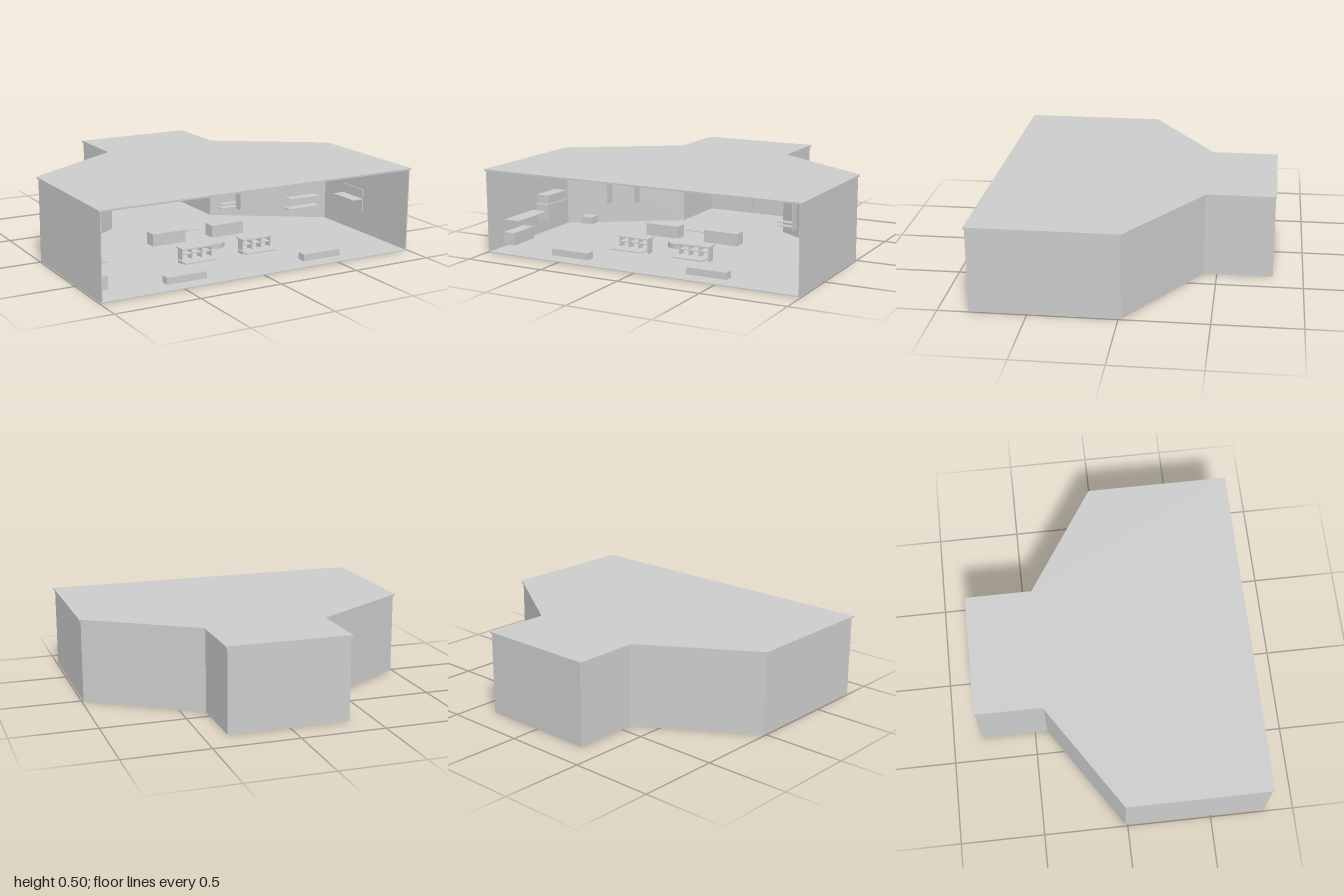
import * as THREE from 'three';

const material = new THREE.MeshStandardMaterial({ color: 0xcccccc, flatShading: true });
const TOP = 0.49;

// Room outline as [x, z], running from the open front around the back
const OUTLINE = [
  [1, 0.83], [1, -0.02], [0.37, -0.43], [0.37, -0.83],
  [-0.365, -0.83], [-0.365, -0.43], [-1, -0.02], [-1, 0.83],
];
const WALL_LINE = [
  [0.99, 0.825], [0.99, -0.015], [0.362, -0.425], [0.362, -0.825],
  [-0.357, -0.825], [-0.357, -0.425], [-0.99, -0.015], [-0.99, 0.825],
];

export function createModel() {
  const model = new THREE.Group();

  function add(name, geometry, parent = model) {
    const mesh = new THREE.Mesh(geometry, material);
    mesh.name = name;
    parent.add(mesh);
    return mesh;
  }

  // Box given by its extents on each axis
  function box(name, [x0, x1], [y0, y1], [z0, z1], parent = model) {
    const mesh = add(name, new THREE.BoxGeometry(x1 - x0, y1 - y0, z1 - z0), parent);
    mesh.position.set((x0 + x1) / 2, (y0 + y1) / 2, (z0 + z1) / 2);
    return mesh;
  }

  // Horizontal slab with the given plan
  function slab(name, plan, y, height) {
    const shape = new THREE.Shape(plan.map(([x, z]) => new THREE.Vector2(x, -z)));
    const geometry = new THREE.ExtrudeGeometry(shape, { depth: height, bevelEnabled: false });
    geometry.rotateX(-Math.PI / 2);
    add(name, geometry).position.y = y;
  }

  slab('floor', WALL_LINE, 0, 0.006);
  slab('roof', OUTLINE, TOP, 0.01);

  // Walls: one thin strip following the outline, open at the front
  const t = 0.006;
  const inner = WALL_LINE.map(([x, z]) => [x - Math.sign(x) * t, z < 0.8 ? z + t : z]);
  slab('walls', [...WALL_LINE, ...inner.reverse()], 0, TOP);

  // Front benches
  for (const x of [-0.58, 0.3]) box('frontBench', [x, x + 0.245], [0.02, 0.06], [0.715, 0.77]);

  // Seating groups: solid sofa at the back, slatted seat with dividers in front
  for (const x of [-0.33, 0.07]) {
    box('backSofa', [x, x + 0.22], [0.025, 0.1], [0.03, 0.11]);
    const seat = new THREE.Group();
    seat.name = 'slattedSeat';
    model.add(seat);
    box('seatTop', [x + 0.01, x + 0.21], [0.09, 0.098], [0.38, 0.46], seat);
    box('seatShelf', [x, x + 0.2], [0.025, 0.032], [0.42, 0.52], seat);
    box('seatRail', [x + 0.01, x + 0.21], [0.06, 0.066], [0.4, 0.45], seat);
    for (let i = 0; i < 4; i++) {
      const px = x + 0.012 + i * 0.063;
      box('divider', [px, px + 0.006], [0.006, 0.09], [0.4, 0.45], seat);
    }
  }

  // Round table
  const table = add('roundTable', new THREE.CylinderGeometry(0.075, 0.075, 0.03, 32));
  table.position.set(-0.012, 0.04, 0.255);
  box('tableMat', [-0.11, 0.07], [0.058, 0.062], [-0.05, 0.02]);

  // Cabinets and counter by the left-hand side of the front opening
  box('lowCabinet', [-0.97, -0.895], [0.025, 0.1], [0.5, 0.7]);
  box('counterTop', [-0.985, -0.88], [0.163, 0.17], [0.38, 0.67]);
  box('tallCabinet', [-0.965, -0.88], [0.1, 0.265], [0.16, 0.36]);
  box('cabinetShelf', [-0.965, -0.87], [0.205, 0.211], [0.15, 0.38]);
  box('smallStool', [-0.875, -0.79], [0.02, 0.065], [-0.06, 0.01]);

  // Thin shelves and post on the back wall
  box('longShelf', [-0.16, 0.2], [0.217, 0.223], [-0.81, -0.75]);
  box('shortShelf', [-0.16, -0.03], [0.167, 0.173], [-0.81, -0.75]);
  box('shelfPost', [-0.033, -0.027], [0.06, 0.22], [-0.81, -0.77]);

  // Thin panels standing off the angled walls
  for (const [x, y0, y1, z] of [[-0.735, 0.14, 0.285, -0.15], [-0.585, 0.14, 0.285, -0.24], [0.49, 0.06, 0.32, -0.31]])
    box('wallPanel', [x - 0.003, x + 0.003], [y0, y1], [z, z + 0.06]);
  for (const y of [0.1, 0.165]) box('sideShelf', [0.69, 0.92], [y - 0.003, y + 0.003], [-0.04, 0.02]);
  for (const y of [0.075, 0.1]) box('cornerShelf', [0.37, 0.49], [y - 0.003, y + 0.003], [-0.33, -0.29]);
  box('rightShelf', [0.9, 0.982], [0.217, 0.223], [0.2, 0.4]);
  box('rightPanel', [0.976, 0.982], [0.14, 0.28], [0.2, 0.4]);

  // Ceiling lamps
  for (const x of [-0.355, 0.29]) {
    box('lampStem', [x - 0.002, x + 0.002], [0.48, TOP], [0.298, 0.302]);
    box('lampHead', [x - 0.01, x + 0.01], [0.465, 0.48], [0.29, 0.31]);
  }

  return model;
}
